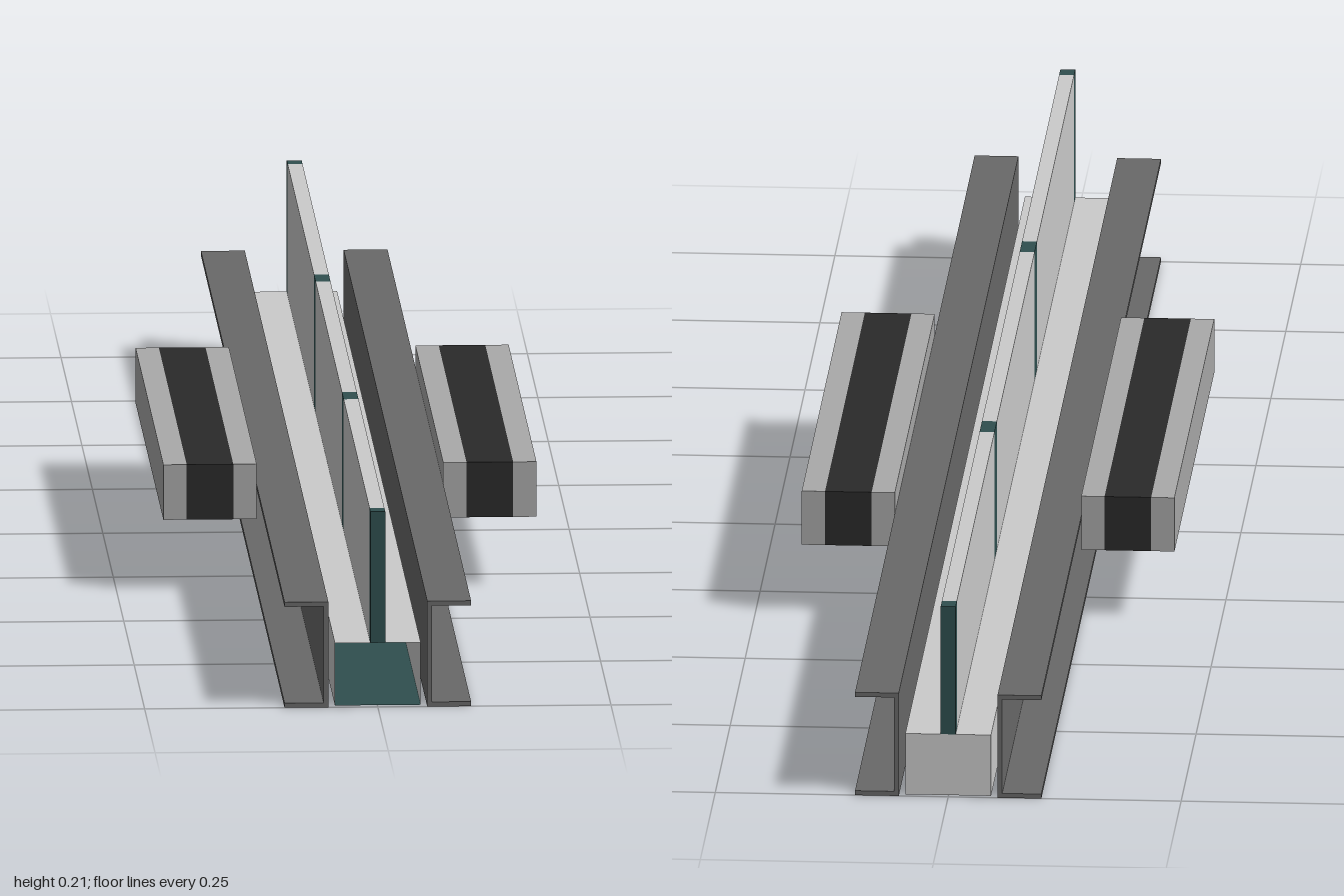
import * as THREE from 'three';

const mat = (color, extra = {}) => new THREE.MeshStandardMaterial({ color, ...extra });

export function createModel() {
  const model = new THREE.Group();
  const light = mat(0xd3d3d3, { side: THREE.DoubleSide });
  const teal = mat(0x2f4f4f, { side: THREE.DoubleSide });
  const grey = mat(0xa9a9a9);
  const steel = mat(0x696969);
  const black = mat(0x2a2a2a);

  const add = (name, geometry, material) => {
    const mesh = new THREE.Mesh(geometry, material);
    mesh.name = name;
    model.add(mesh);
    return mesh;
  };
  // Box given by its lower and upper limits on each axis
  const box = (name, [x0, x1], [y0, y1], [z0, z1], material) =>
    add(name, new THREE.BoxGeometry(x1 - x0, y1 - y0, z1 - z0), material)
      .position.set((x0 + x1) / 2, (y0 + y1) / 2, (z0 + z1) / 2);

  // Hollow core: light top, sides and back, dark floor, open at the front
  const core = new THREE.BoxGeometry(0.092, 0.068, 2);
  core.translate(0, 0.036, 0);
  core.clearGroups();
  [0, 0, 0, 1, -1, 0].forEach((m, i) => {
    if (m >= 0) core.addGroup(i * 6, 6, m);
  });
  add('hollowCore', core, [light, teal]);

  // Upright posts and the panels between them
  const half = 0.008;
  const posts = [[-1, -0.98], [-0.35, -0.31], [0.32, 0.36], [0.98, 1]];
  posts.forEach((z, i) => {
    box('post', [-half, half], [0.07, 0.213], z, teal);
    if (i < 3) box('dividerPanel', [-half, half], [0.07, 0.213], [z[1], posts[i + 1][0]], light);
  });

  for (const s of [1, -1]) {
    const side = s > 0 ? 'left' : 'right';

    // C-section rail with outward flanges, extruded along z
    const profile = [[0.053, 0], [0.1, 0], [0.1, 0.005], [0.058, 0.005],
      [0.058, 0.11], [0.1, 0.11], [0.1, 0.115], [0.053, 0.115]];
    const shape = new THREE.Shape(profile.map(([x, y]) => new THREE.Vector2(s * x, y)));
    const rail = new THREE.ExtrudeGeometry(shape, { depth: 2, bevelEnabled: false });
    rail.translate(0, 0, -1);
    add(side + 'Rail', rail, steel);

    // Side block: dark middle strip between two grey strips
    [[0.1, 0.125, grey], [0.125, 0.175, black], [0.175, 0.2, grey]].forEach(([a, b, m]) => {
      box(side + (m === black ? 'BlockCore' : 'BlockEdge'),
        s > 0 ? [a, b] : [-b, -a], [0.078, 0.138], [-0.333, 0.333], m);
    });
  }
  return model;
}
